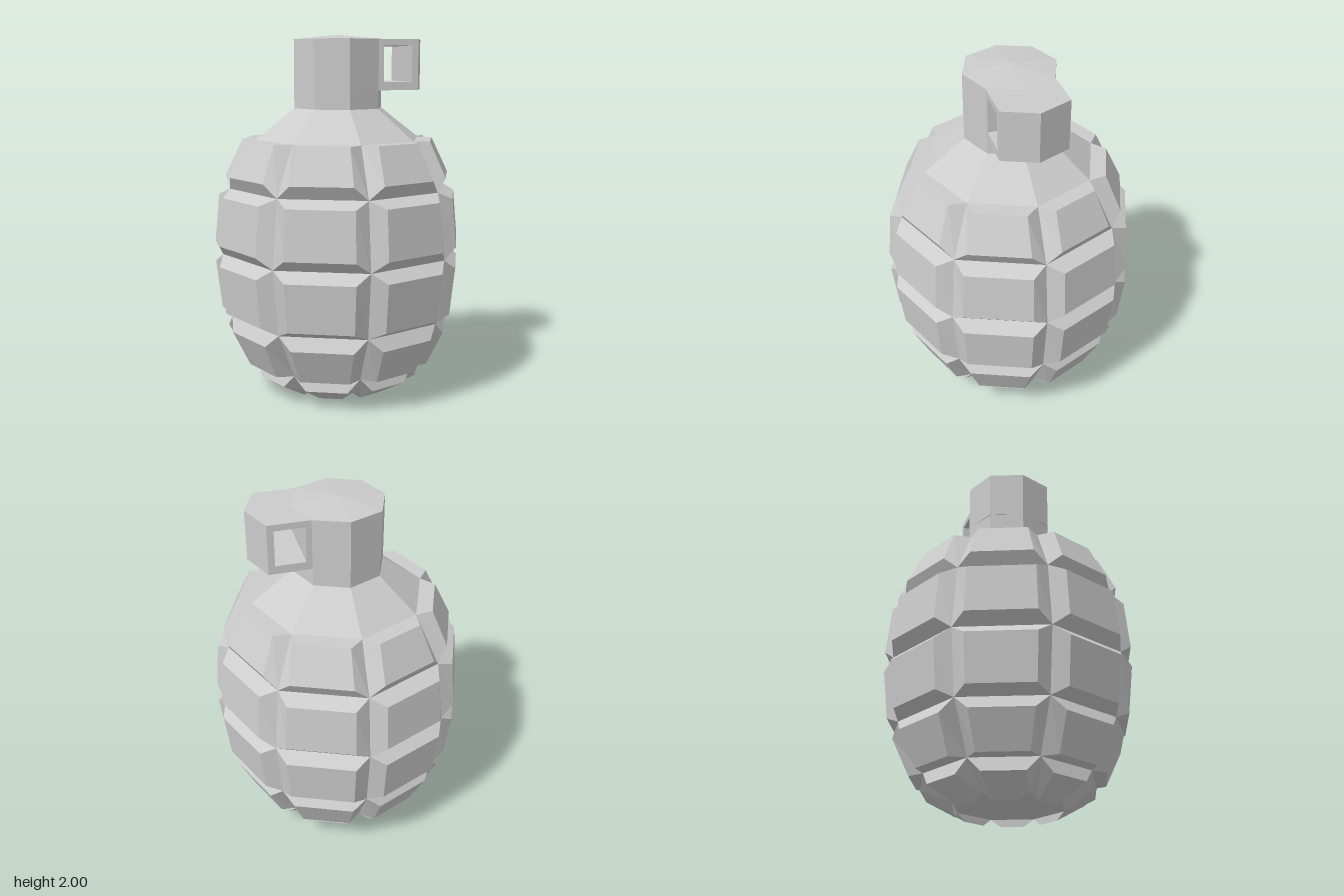
import * as THREE from 'three';

const SIDES = 8, STEP = Math.PI * 2 / SIDES;
const metal = new THREE.MeshStandardMaterial({ color: 0xcccccc });
metal.name = 'grey metal';

// Mesh with faceted normals
function facet(name, geometry) {
  const g = geometry.index ? geometry.toNonIndexed() : geometry;
  g.computeVertexNormals();
  const mesh = new THREE.Mesh(g, metal);
  mesh.name = name;
  return mesh;
}

// Point (x, y, z) turned about the vertical axis by k eighths
function turned(x, y, z, k) {
  const c = Math.cos(k * STEP), s = Math.sin(k * STEP);
  return [x * c - z * s, y, x * s + z * c];
}

// Upright octagonal frustum with corners on the axes
function octagon(name, rTop, rBottom, y0, y1, open = false) {
  const g = new THREE.CylinderGeometry(rTop, rBottom, y1 - y0, SIDES, 1, open);
  g.translate(0, (y0 + y1) / 2, 0);
  return facet(name, g);
}

// Upright prism over a plan outline of [x, z] points
function prism(name, outline, y0, y1) {
  const shape = new THREE.Shape(outline.map(([x, z]) => new THREE.Vector2(x, -z)));
  const g = new THREE.ExtrudeGeometry(shape, { depth: y1 - y0, bevelEnabled: false });
  g.rotateX(-Math.PI / 2);
  g.translate(0, y0, 0);
  return facet(name, g);
}

// One ring of raised pads. Grooves are [radius, y]; pad edges are
// [x, y, z] of the corner beside the groove on the +x axis.
function padRing(name, grooveTop, padTop, padBottom, grooveBottom) {
  const pos = [];
  const quad = (a, b, c, d) => pos.push(...a, ...b, ...c, ...a, ...c, ...d);
  for (let k = 0; k < SIDES; k++) {
    const start = ([x, y, z]) => turned(x, y, z, k);
    const end = ([x, y, z]) => turned(x, y, -z, k + 1);
    const gt = [...grooveTop, 0], gb = [...grooveBottom, 0];
    const outer = [end(padTop), end(padBottom), start(padBottom), start(padTop)];
    const base = [end(gt), end(gb), start(gb), start(gt)];
    quad(...outer);
    for (let i = 0; i < 4; i++) {
      const j = (i + 1) % 4;
      quad(base[i], base[j], outer[j], outer[i]);
    }
  }
  const g = new THREE.BufferGeometry();
  g.setAttribute('position', new THREE.Float32BufferAttribute(pos, 3));
  return facet(name, g);
}

export function createModel() {
  const model = new THREE.Group();
  model.name = 'segmentedShell';

  // Grooved body, from the top down
  const grooves = [[0.47, 1.43], [0.615, 1.165], [0.66, 0.8], [0.615, 0.44], [0.47, 0.175], [0.31, 0.04]];
  const pads = [
    [[0.53, 1.43, 0.075], [0.625, 1.235, 0.08]],
    [[0.665, 1.125, 0.083], [0.69, 0.86, 0.085]],
    [[0.69, 0.745, 0.085], [0.66, 0.48, 0.083]],
    [[0.625, 0.37, 0.08], [0.53, 0.175, 0.075]],
    [[0.465, 0.1, 0.07], [0.29, 0, 0.05]],
  ];
  const body = new THREE.Group();
  body.name = 'body';
  pads.forEach(([top, bottom], i) => {
    body.add(padRing('padRing' + (i + 1), grooves[i], top, bottom, grooves[i + 1]));
  });

  // Shallow pointed underside
  body.add(octagon('underside', 0.31, 0, 0.015, 0.04, true));
  model.add(body);

  // Shoulder, neck and cap
  model.add(octagon('shoulder', 0.25, 0.47, 1.43, 1.6, true));
  model.add(octagon('lowerNeck', 0.25, 0.25, 1.6, 1.7));
  const d = 0.18;
  model.add(prism('upperNeck',
    [[d, d], [0, 0.25], [-d, d], [-0.25, 0], [-d, -d], [0, -0.25], [d, -d]], 1.7, 1.975));
  model.add(octagon('cap', 0, 0.25, 1.975, 2, true));

  // Side handle with a window through it
  const handle = new THREE.Group();
  handle.name = 'handle';
  const plan = x => [[x, d], [x, -d], [0.405, -d], [0.48, 0], [0.405, d]];
  handle.add(
    prism('handleBottom', plan(d), 1.7, 1.745),
    prism('handleTop', plan(d), 1.94, 1.975),
    prism('handleEnd', plan(0.37), 1.745, 1.94),
    prism('handleRoot', [[d, d], [d, -d], [0.21, -d], [0.21, d]], 1.745, 1.94),
  );
  model.add(handle);
  return model;
}
